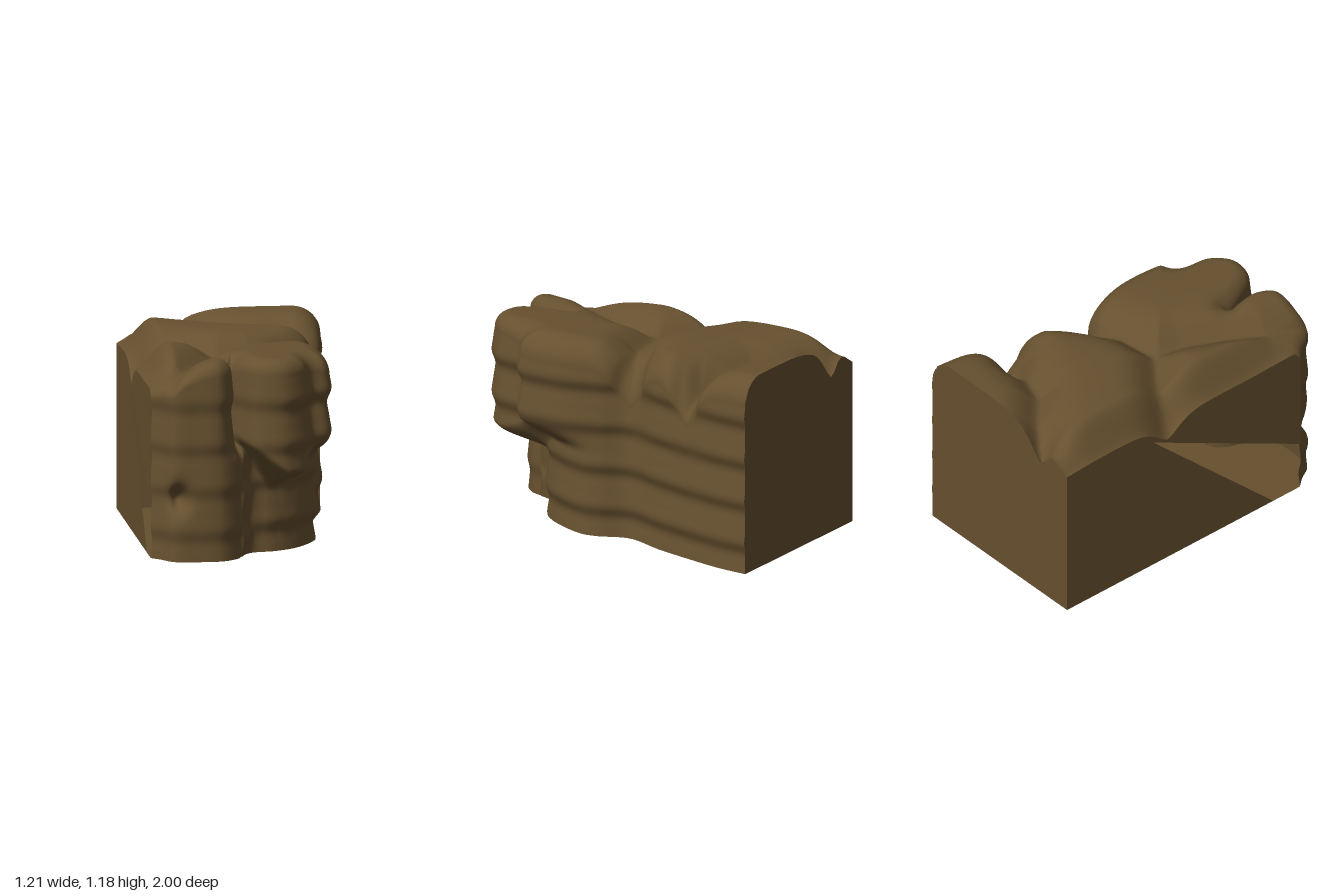
import * as THREE from 'three';
import { toCreasedNormals } from 'three/addons/utils/BufferGeometryUtils.js';

const { smoothstep, lerp, clamp } = THREE.MathUtils;
const V = (x, z) => new THREE.Vector2(x, z);

// Plan outline of the weathered side, from back corner round the front: [x, z] at the top and at the foot
const TOP = [[0.6, -1], [0.58, -0.8], [0.53, -0.58], [0.46, -0.32], [0.37, -0.07], [0.44, 0.12], [0.49, 0.35],
  [0.47, 0.62], [0.36, 0.7], [0.31, 0.87], [0.2, 0.98], [0.08, 0.99], [-0.02, 0.93], [-0.09, 0.78],
  [-0.125, 0.67], [-0.12, 0.85], [-0.2, 0.98], [-0.36, 0.99], [-0.48, 0.97], [-0.55, 0.87], [-0.6, 0.81]];
const FOOT = TOP.map((p) => p.slice());
[[0.43, 0.12], [0.435, 0.24], [0.36, 0.42], [0.27, 0.55], [0.18, 0.62], [0.12, 0.65], [0.05, 0.665], [0, 0.69],
  [-0.04, 0.75], [-0.065, 0.82], [-0.1, 0.9]].forEach((p, i) => { FOOT[5 + i] = p; });

// Creases between the boulders on top
const CREASES = [
  [[-0.37, -1], [-0.2, -0.88], [0, -0.7], [0.2, -0.63], [0.5, -0.54]],
  [[-0.6, -0.22], [-0.4, -0.12], [-0.15, 0.07], [0.1, 0.04], [0.28, -0.05], [0.4, -0.07]],
  [[-0.15, 0.07], [-0.18, 0.25], [-0.3, 0.5], [-0.42, 0.7], [-0.47, 0.95]],
].map((line) => line.map(([x, z]) => V(x, z)));

// Distance from a point to a polyline
function distance(line, x, z) {
  let best = Infinity;
  for (let i = 0; i < line.length - 1; i++) {
    const a = line[i], dx = line[i + 1].x - a.x, dz = line[i + 1].y - a.y;
    const t = clamp(((x - a.x) * dx + (z - a.y) * dz) / (dx * dx + dz * dz || 1), 0, 1);
    best = Math.min(best, Math.hypot(x - a.x - t * dx, z - a.y - t * dz));
  }
  return best;
}

// Weathered curve followed by the two straight cut sides
const ROUGH = 241, SIDE = 44, BACK = 30;
function outline(points) {
  const rough = new THREE.SplineCurve(points.map(([x, z]) => V(x, z))).getPoints(ROUGH - 1);
  const all = rough.slice();
  for (let i = 1; i <= SIDE; i++) all.push(V(-0.6, lerp(0.81, -1, i / SIDE)));
  for (let i = 1; i <= BACK; i++) all.push(V(lerp(-0.6, 0.6, i / BACK), -1));
  return { rough, all };
}

const upper = outline(TOP), lower = outline(FOOT);
const COUNT = upper.all.length;

// Height of the rounded boulder tops
function height(x, z) {
  const radius = lerp(0.17, 0.1, smoothstep(z, 0.5, 0.9)) * lerp(0.5, 1, smoothstep(x, -0.55, -0.35));
  const edge = Math.min(distance(upper.rough, x, z) / radius, 1);
  const depth = [0.13 + 0.11 * smoothstep(Math.abs(x), 0.15, 0.38), 0.13 + 0.1 * smoothstep(x, 0.15, 0.4), 0.12];
  const crease = CREASES.map((line, i) => depth[i] * Math.exp(-((distance(line, x, z) / 0.115) ** 1.5)));
  const slope = lerp(0.2, 0.17, smoothstep(z, 0.4, 0.8)) * (1 - smoothstep(x, -0.63, -0.41));
  return 1.185 - 0.95 * radius * (1 - Math.sqrt(1 - (1 - edge) ** 2)) - Math.max(...crease) - slope;
}

// Lower rim of the overhanging front boulder
const rim = (x) => 0.68 - 0.2 * clamp((x + 0.08) / 0.28, 0, 1) + 0.12 * smoothstep(x, 0.3, 0.42);

// Point on the cliff wall: overhang, strata ripples and one hollow
function wallPoint(i, y) {
  const a = lower.all[i], b = upper.all[i];
  const p = a.clone().lerp(b, smoothstep(y, rim(b.x) - 0.1, rim(b.x) + 0.05));
  if (i < ROUGH) {
    const prev = upper.rough[Math.max(i - 1, 0)], next = upper.rough[Math.min(i + 1, ROUGH - 1)];
    const t = next.clone().sub(prev).normalize();
    const size = lerp(0.007, 0.013, smoothstep(b.x, -0.1, 0.4));
    const phase = (Math.PI * 2 * (y - 0.21)) / 0.255;
    const ripple = size * Math.cos(phase + 0.5 * Math.cos(phase)) - 0.004;
    p.x = Math.max(p.x + t.y * ripple, -0.6);
    p.y -= t.x * ripple;
    if (b.y > 0.6 && b.x < -0.2) {
      p.y -= 0.1 * Math.exp(-(((b.x + 0.45) / 0.06) ** 2) - (((y - 0.37) / 0.08) ** 2));
    }
    p.y = clamp(p.y, -1, 1);
  }
  return p;
}

// Rows of the skin: underside, wall, then rings closing over the top onto a central spine
function rockGeometry() {
  const WALL = 76, RINGS = 44;
  const rows = Array.from({ length: WALL + RINGS + 2 }, () => []);
  for (let i = 0; i < COUNT; i++) {
    const edge = upper.all[i];
    const spine = V(-0.1, edge.y * 0.55);
    const top = height(edge.x, edge.y);
    const rimPoint = wallPoint(i, top);
    rows[0].push(spine.x, 0, spine.y);
    for (let r = 0; r <= WALL; r++) {
      const y = (top * r) / WALL, p = wallPoint(i, y);
      rows[r + 1].push(p.x, y, p.y);
    }
    for (let k = 1; k <= RINGS; k++) {
      const s = (k / RINGS) ** 1.7;
      const p = rimPoint.clone().lerp(spine, s), q = edge.clone().lerp(spine, s);
      rows[WALL + 1 + k].push(p.x, height(q.x, q.y), p.y);
    }
  }
  const index = [];
  for (let r = 0; r < rows.length - 1; r++) {
    for (let i = 0; i < COUNT; i++) {
      // the straight side is left open for the cut panel
      if (r > 0 && r <= WALL && i >= ROUGH - 1 && i < ROUGH - 1 + SIDE) continue;
      const j = (i + 1) % COUNT;
      const a = r * COUNT + i, b = r * COUNT + j, c = a + COUNT, d = b + COUNT;
      index.push(a, c, b, b, c, d);
    }
  }
  const geometry = new THREE.BufferGeometry();
  geometry.setAttribute('position', new THREE.Float32BufferAttribute(rows.flat(), 3));
  geometry.setIndex(index);
  return toCreasedNormals(geometry, 1.2);
}

// Flat cut side with a broken opening at its lower front corner
function panelGeometry() {
  const points = [V(-1, 0), V(0.6, 0), V(-0.33, 0.9), V(0.81, 0.315)];
  for (let i = 0; i <= SIDE; i++) {
    const z = lerp(0.81, -1, i / SIDE);
    points.push(V(z, height(-0.6, z)));
  }
  return new THREE.ShapeGeometry(new THREE.Shape(points)).rotateY(-Math.PI / 2).translate(-0.6, 0, 0);
}

export function createModel() {
  const group = new THREE.Group();
  group.name = 'cliffBlock';
  const stone = new THREE.MeshStandardMaterial({ color: 0x66502f, side: THREE.DoubleSide });
  stone.name = 'brown stone';
  const parts = { rock: rockGeometry(), cutSide: panelGeometry() };
  for (const [name, geometry] of Object.entries(parts)) {
    const mesh = new THREE.Mesh(geometry, stone);
    mesh.name = name;
    group.add(mesh);
  }
  return group;
}
